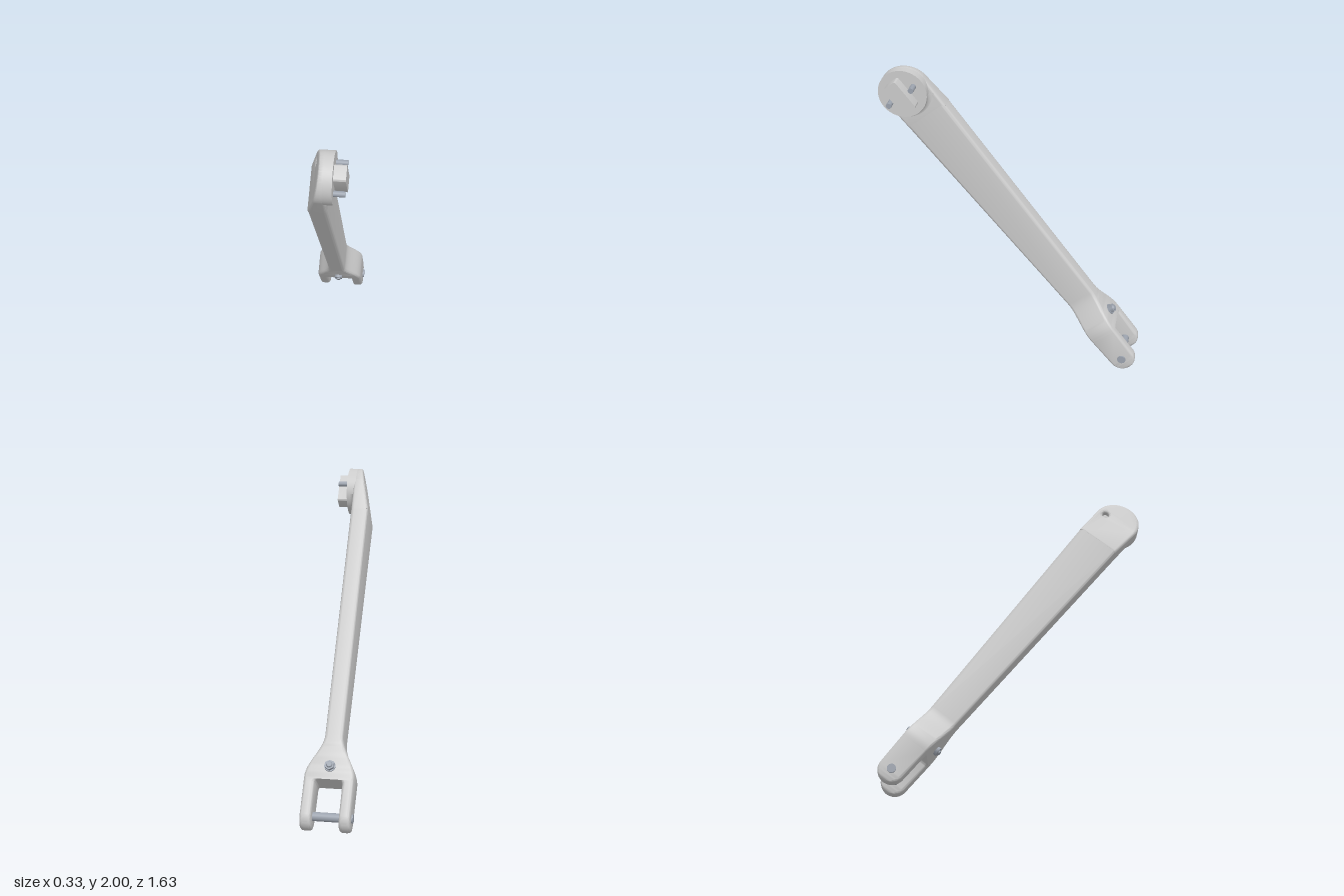
import * as THREE from 'three';
import { toCreasedNormals } from 'three/addons/utils/BufferGeometryUtils.js';

const L = 2.25, R0 = 0.085, R1 = 0.15;      // pivot distance, small and big end radius
const XL = -0.065, XR = 0.045, B = 0.02;    // arm faces and edge rounding
const SLANT = 2.05, CROTCH = 0.205;
const grey = new THREE.MeshStandardMaterial({ color: 0xcccccc });
const thin = new THREE.MeshStandardMaterial({ color: 0xcccccc, side: THREE.DoubleSide });
const steel = new THREE.MeshStandardMaterial({ color: 0x9ca3ae });
const halfZ = y => R0 + (R1 - R0) * y / L;

function add(parent, name, geometry, material = grey) {
  const m = new THREE.Mesh(geometry, material);
  m.name = name;
  parent.add(m);
  return m;
}

// Rounded-rectangle cross-sections {y, x0, x1, hz}, joined along y
function loft(sections) {
  const pos = [], idx = [], N = 24;
  for (const { y, x0, x1, hz } of sections) {
    const r = Math.min(B, hz * 0.98, (x1 - x0) * 0.49);
    for (let q = 0; q < 4; q++) {
      const cx = q === 0 || q === 3 ? x1 - r : x0 + r;
      const cz = q < 2 ? hz - r : r - hz;
      for (let k = 0; k < 6; k++) {
        const t = (q + k / 5) * Math.PI / 2;
        pos.push(cx + r * Math.cos(t), y, cz + r * Math.sin(t));
      }
    }
  }
  const n = sections.length;
  for (let i = 0; i < n - 1; i++) for (let j = 0; j < N; j++) {
    const a = i * N + j, b = i * N + (j + 1) % N;
    idx.push(a, a + N, b, b, a + N, b + N);
  }
  for (const i of [0, n - 1]) {
    const s = sections[i], c = pos.length / 3;
    pos.push((s.x0 + s.x1) / 2, s.y, 0);
    for (let j = 0; j < N; j++) {
      const a = i * N + j, b = i * N + (j + 1) % N;
      if (i === 0) idx.push(c, a, b); else idx.push(c, b, a);
    }
  }
  const g = new THREE.BufferGeometry();
  g.setAttribute('position', new THREE.Float32BufferAttribute(pos, 3));
  g.setIndex(idx);
  return toCreasedNormals(g, 0.7);
}

// Cylinder along x between two positions
function rodX(r, x0, x1, y, z, sides = 24) {
  return new THREE.CylinderGeometry(r, r, x1 - x0, sides)
    .rotateZ(-Math.PI / 2).translate((x0 + x1) / 2, y, z);
}

export function createModel() {
  const model = new THREE.Group();
  model.name = 'crankArm';
  const arm = new THREE.Group();
  arm.name = 'tiltedArm';
  arm.position.set(0, 0.085, -0.73);
  arm.rotation.x = 0.669;
  model.add(arm);

  // Tapered bar that flares out into the fork
  const bar = [{ y: CROTCH, x0: -0.157, x1: 0.143, hz: halfZ(CROTCH) }];
  for (let i = 0; i <= 16; i++) {
    const t = i / 16, y = 0.22 + 0.26 * t, f = 1 - t * t * (3 - 2 * t);
    bar.push({ y, x0: XL - 0.092 * f, x1: XR + 0.098 * f, hz: halfZ(y) });
  }
  bar.push({ y: SLANT, x0: XL, x1: XR, hz: halfZ(SLANT) });
  add(arm, 'bar', loft(bar));

  // Two fork tines with round tips
  for (const side of [-1, 1]) {
    const tine = [];
    const push = (y, hz, inset, fillet) => {
      const inner = 0.083 - fillet + inset, outer = 0.15 - inset;
      const a = side * inner - 0.007, b = side * outer - 0.007;
      tine.push({ y, x0: Math.min(a, b), x1: Math.max(a, b), hz });
    };
    for (let i = 14; i >= 0; i--) {
      const t = i / 14 * 1.55, y = -R0 * Math.sin(t);
      const d = Math.max(0, B - (R0 + y));
      push(y, R0 * Math.cos(t), B - Math.sqrt(B * B - d * d), 0);
    }
    for (let i = 0; i <= 5; i++) {
      const a = i / 5 * Math.PI / 2, y = CROTCH - B + B * Math.sin(a);
      push(y, halfZ(y), 0, B * (1 - Math.cos(a)));
    }
    add(arm, side > 0 ? 'leftTine' : 'rightTine', loft(tine));
  }

  // Big end: rounded plate with two bores, one face sloping towards the tip
  const shape = new THREE.Shape();
  shape.moveTo(-halfZ(SLANT), SLANT - B);
  shape.lineTo(halfZ(SLANT), SLANT - B);
  shape.absarc(0, L, R1, 0, Math.PI, false);
  shape.closePath();
  for (const s of [-1, 1]) {
    const hole = new THREE.Path();
    hole.absarc(s * 0.089, L, 0.021, 0, Math.PI * 2, true);
    shape.holes.push(hole);
  }
  const head = new THREE.ExtrudeGeometry(shape, {
    depth: XR - XL - 2 * B, bevelThickness: B, bevelSize: B, bevelOffset: -B,
    bevelSegments: 4, curveSegments: 40
  }).rotateY(Math.PI / 2).translate(XL + B, 0, 0);
  const p = head.attributes.position;
  for (let i = 0; i < p.count; i++) {
    const low = XL + 0.22 * (p.getY(i) - SLANT);
    p.setX(i, low + (p.getX(i) - XL) * (XR - low) / (XR - XL));
  }
  add(arm, 'bigEnd', toCreasedNormals(head, 0.6));

  // Round mounting boss and the fillet that blends it into the bar
  add(arm, 'boss', rodX(R1, 0.02, 0.09, L, 0, 64));
  const profile = [];
  for (let i = 0; i <= 6; i++) {
    const t = i / 6 * Math.PI / 2;
    profile.push(new THREE.Vector2(0.179 - 0.03 * Math.cos(t), 0.074 - 0.03 * Math.sin(t)));
  }
  add(arm, 'bossFillet', new THREE.LatheGeometry(profile, 24, Math.PI / 2 - 0.9, 1.8)
    .rotateZ(-Math.PI / 2).translate(0, L, 0), thin);

  // Drive key with rounded corners
  const key = new THREE.Shape(), kw = 0.049, kh = 0.1, kr = 0.014;
  key.absarc(kw - kr, kh - kr, kr, 0, Math.PI / 2);
  key.absarc(kr - kw, kh - kr, kr, Math.PI / 2, Math.PI);
  key.absarc(kr - kw, kr - kh, kr, Math.PI, Math.PI * 1.5);
  key.absarc(kw - kr, kr - kh, kr, Math.PI * 1.5, Math.PI * 2);
  const keyGeo = new THREE.ExtrudeGeometry(key, { depth: 0.075, bevelEnabled: false, curveSegments: 6 });
  add(arm, 'driveKey', toCreasedNormals(keyGeo.rotateY(Math.PI / 2).translate(0.085, L, 0), 0.6));

  // Dowels beside the key
  for (const s of [-1, 1]) add(arm, 'dowel', rodX(0.017, 0.08, 0.155, L, s * 0.089), steel);

  // Fork pin
  add(arm, 'forkPin', rodX(0.027, -0.166, 0.152, 0, 0, 32), steel);

  // Clamp bolt through the fork root, with a hex head and a nut
  const bolt = new THREE.Group();
  bolt.name = 'clampBolt';
  bolt.position.set(-0.008, 0.285, 0);
  arm.add(bolt);
  const rodZ = (r0, r1, z0, z1, sides) => new THREE.CylinderGeometry(r1, r0, z1 - z0, sides)
    .rotateX(Math.PI / 2).translate(0, 0, (z0 + z1) / 2);
  add(bolt, 'washer', rodZ(0.034, 0.034, -0.1, -0.085, 24), steel);
  add(bolt, 'hexHead', rodZ(0.03, 0.03, -0.122, -0.095, 6), steel);
  add(bolt, 'headTip', rodZ(0.014, 0.02, -0.132, -0.12, 20), steel);
  add(bolt, 'nut', rodZ(0.029, 0.029, 0.085, 0.112, 6), steel);
  add(bolt, 'boltTip', rodZ(0.017, 0.014, 0.1, 0.122, 20), steel);
  return model;
}
